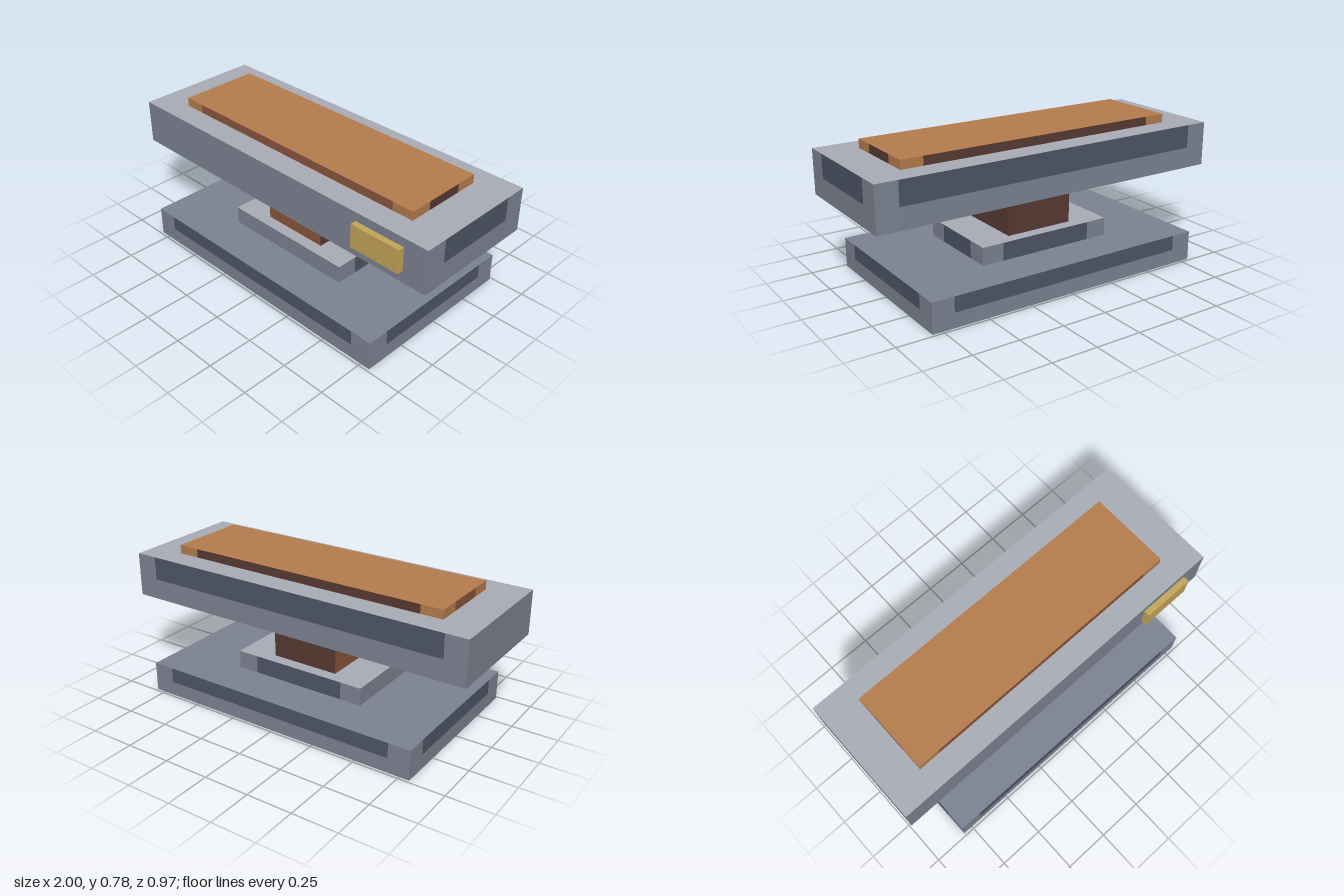
import * as THREE from 'three';

const mat = (name, color) => {
  const m = new THREE.MeshStandardMaterial({ color, side: THREE.DoubleSide });
  m.name = name;
  return m;
};

export function createModel() {
  const steel = mat('steel grey', 0x7c8392);
  const light = mat('light steel', 0xa9adb6);
  const dark = mat('dark steel', 0x4e5566);
  const orange = mat('orange copper', 0xb57c4c);
  const brown = mat('brown', 0x8a553a);
  const umber = mat('dark brown', 0x573a33);
  const gold = mat('gold', 0xc5a658);

  const model = new THREE.Group();
  model.name = 'pedestalTable';

  // Flat rectangle in the local XY plane
  const panel = (parent, name, material, x0, x1, y0, y1) => {
    if (x1 - x0 < 0.001 || y1 - y0 < 0.001) return;
    const mesh = new THREE.Mesh(new THREE.PlaneGeometry(x1 - x0, y1 - y0), material);
    mesh.position.set((x0 + x1) / 2, (y0 + y1) / 2, 0);
    mesh.name = name;
    parent.add(mesh);
  };

  // Bottomless slab: four walls, each with an optional inset panel at its top edge.
  // Walls and insets are listed as front, left (+x), back, right (-x).
  const slab = ({ name, w, d, y0, y1, top, walls, insets = [], margin = 0.12, insetY = y0 }) => {
    const group = new THREE.Group();
    group.name = name;
    ['front', 'left', 'back', 'right'].forEach((side, i) => {
      const half = (i % 2 ? d : w) / 2;
      const wall = new THREE.Group();
      wall.name = side + 'Wall';
      wall.rotation.y = i * Math.PI / 2;
      const offset = (i % 2 ? w : d) / 2;
      wall.position.set(Math.sin(wall.rotation.y) * offset, 0, Math.cos(wall.rotation.y) * offset);
      if (insets[i]) {
        const inner = half - margin;
        panel(wall, 'inset', insets[i], -inner, inner, insetY, y1);
        panel(wall, 'lowerRail', walls[i], -inner, inner, y0, insetY);
        panel(wall, 'post', walls[i], -half, -inner, y0, y1);
        panel(wall, 'post', walls[i], inner, half, y0, y1);
      } else {
        panel(wall, 'face', walls[i], -half, half, y0, y1);
      }
      group.add(wall);
    });
    const lid = new THREE.Mesh(new THREE.PlaneGeometry(w, d), top);
    lid.rotation.x = -Math.PI / 2;
    lid.position.y = y1;
    lid.name = 'topFace';
    group.add(lid);
    model.add(group);
  };

  const all = (m) => [m, m, m, m];

  slab({ name: 'base', w: 1.61, d: 0.97, y0: 0, y1: 0.163, top: steel,
    walls: all(steel), insets: all(dark), insetY: 0.08 });
  slab({ name: 'step', w: 0.775, d: 0.516, y0: 0.163, y1: 0.26, top: light,
    walls: all(steel), insets: [null, dark, dark, null] });
  slab({ name: 'column', w: 0.386, d: 0.386, y0: 0.26, y1: 0.515, top: brown,
    walls: [brown, umber, umber, brown] });
  slab({ name: 'tableBlock', w: 2, d: 0.71, y0: 0.486, y1: 0.728, top: light,
    walls: all(steel), insets: [null, dark, dark, null], insetY: 0.6 });
  slab({ name: 'topPlate', w: 1.61, d: 0.452, y0: 0.728, y1: 0.776, top: orange,
    walls: all(orange), insets: [brown, umber, umber, brown] });

  // Small plaque on the front, its back just showing inside the hollow block
  const plaque = new THREE.Mesh(new THREE.BoxGeometry(0.29, 0.13, 0.034), gold);
  plaque.position.set(0.722, 0.615, 0.371);
  plaque.name = 'plaque';
  model.add(plaque);

  return model;
}
